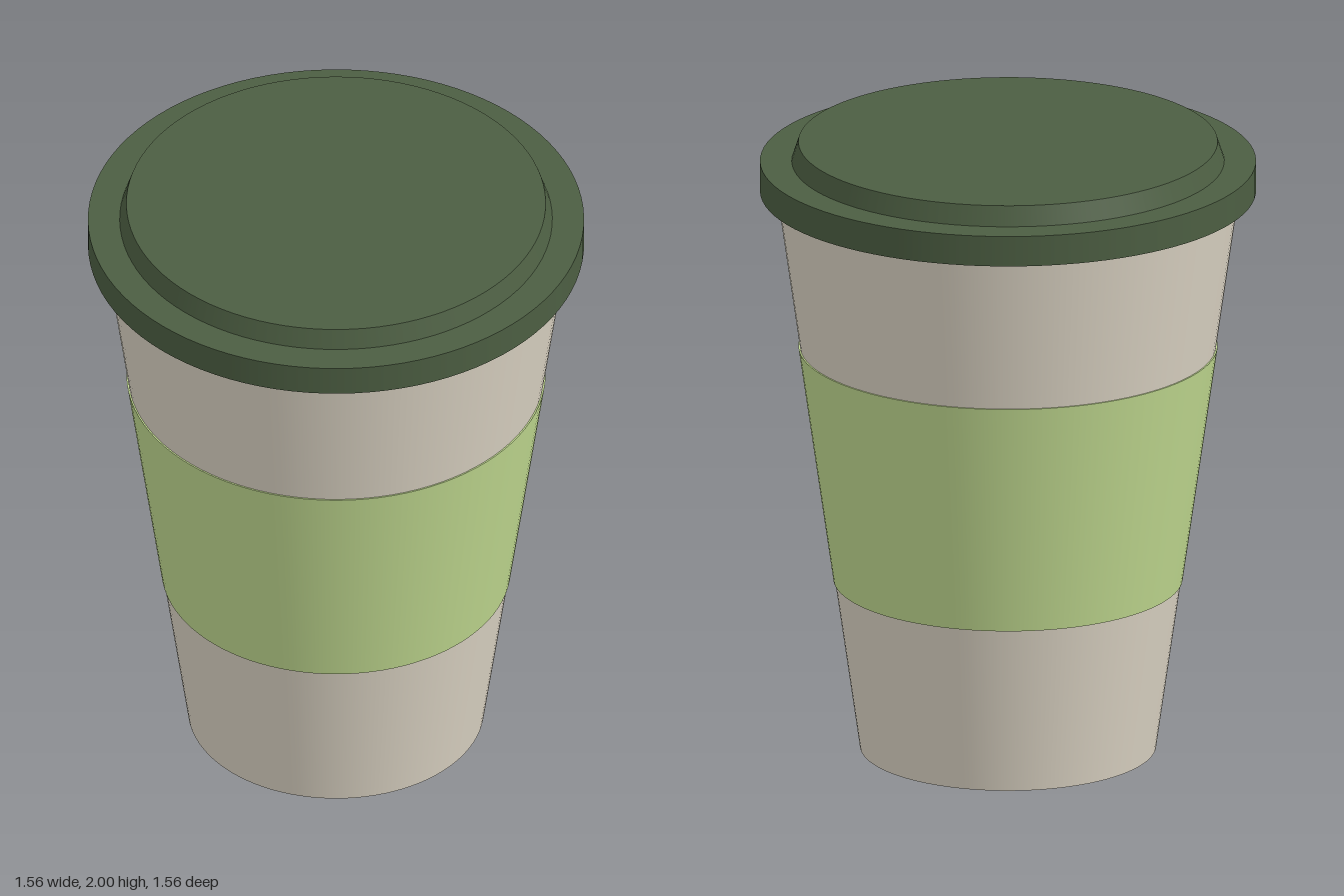
import * as THREE from 'three';

const SIDES = 96;

export function createModel() {
  const cupMaterial = new THREE.MeshStandardMaterial({ color: 0xddd5c5 });
  cupMaterial.name = 'warm cream';
  const sleeveMaterial = new THREE.MeshStandardMaterial({ color: 0xc1da90 });
  sleeveMaterial.name = 'light green';
  const lidMaterial = new THREE.MeshStandardMaterial({ color: 0x4c5e42 });
  lidMaterial.name = 'dark green';

  const group = new THREE.Group();
  group.name = 'takeawayCup';

  // Upright tapered cylinder spanning y0 to y1
  function addTaper(name, material, bottomRadius, topRadius, y0, y1) {
    const geometry = new THREE.CylinderGeometry(topRadius, bottomRadius, y1 - y0, SIDES);
    const mesh = new THREE.Mesh(geometry, material);
    mesh.name = name;
    mesh.position.y = (y0 + y1) / 2;
    group.add(mesh);
  }

  // Cup body and the grip sleeve wrapped around it
  addTaper('cupBody', cupMaterial, 0.467, 0.731, 0, 1.85);
  addTaper('gripSleeve', sleeveMaterial, 0.551, 0.661, 0.555, 1.325);

  // Lid: wide rim with a raised, slightly tapered top
  addTaper('lidRim', lidMaterial, 0.782, 0.782, 1.838, 1.937);
  addTaper('lidTop', lidMaterial, 0.682, 0.661, 1.937, 2);

  return group;
}
